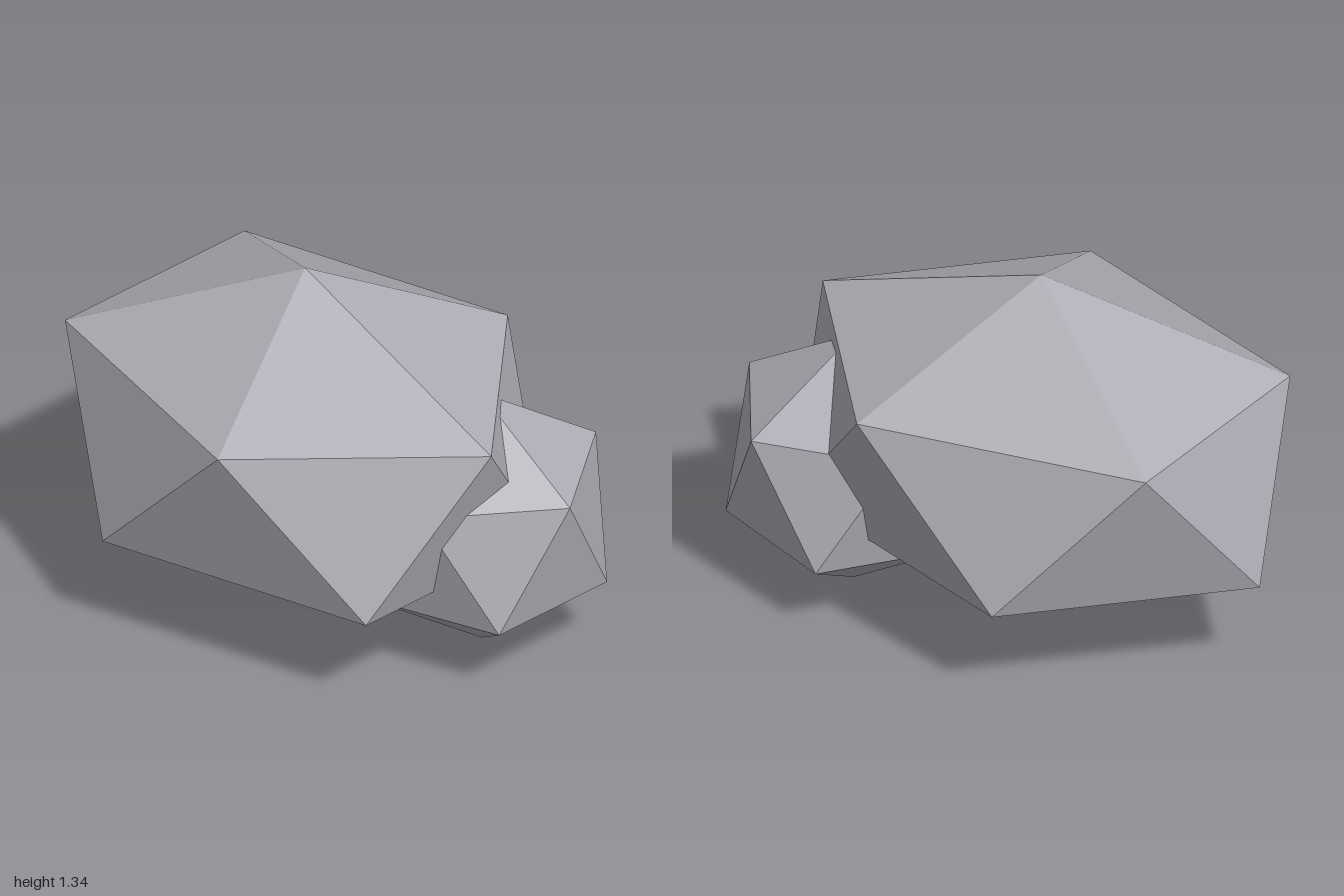
import * as THREE from 'three';

// Faceted boulder: an icosahedron standing on a vertex, built from a top point, two rings of five and a bottom point
function boulderGeometry(rx, ry, rz) {
  const ringY = 1 / Math.sqrt(5), ringR = 2 / Math.sqrt(5);
  const ringPoint = (i, y, turn) => {
    const a = (i + turn) * Math.PI * 0.4;
    return [Math.cos(a) * ringR * rx, y * ry, Math.sin(a) * ringR * rz];
  };
  const upper = (i) => ringPoint(i, ringY, 0);
  const lower = (i) => ringPoint(i, -ringY, 0.5);
  const top = [0, ry, 0], bottom = [0, -ry, 0];
  const pos = [];
  for (let i = 0; i < 5; i++) {
    pos.push(...top, ...upper(i + 1), ...upper(i));
    pos.push(...upper(i), ...upper(i + 1), ...lower(i));
    pos.push(...lower(i), ...upper(i + 1), ...lower(i + 1));
    pos.push(...bottom, ...lower(i), ...lower(i + 1));
  }
  const geo = new THREE.BufferGeometry();
  geo.setAttribute('position', new THREE.Float32BufferAttribute(pos, 3));
  geo.computeVertexNormals();
  return geo;
}

export function createModel() {
  const group = new THREE.Group();
  group.name = 'rocks';
  const stone = new THREE.MeshStandardMaterial({ color: 0xaeaeb6, flatShading: true });
  stone.name = 'grey stone';

  const addRock = (name, radii, center) => {
    const mesh = new THREE.Mesh(boulderGeometry(...radii), stone);
    mesh.name = name;
    mesh.position.set(...center);
    group.add(mesh);
  };

  // Large wide boulder with a smaller one leaning into its back left side
  addRock('largeBoulder', [1.043, 0.652, 0.823], [-0.068, 0.684, 0]);
  addRock('smallBoulder', [0.498, 0.497, 0.495], [0.555, 0.497, -0.25]);
  return group;
}
